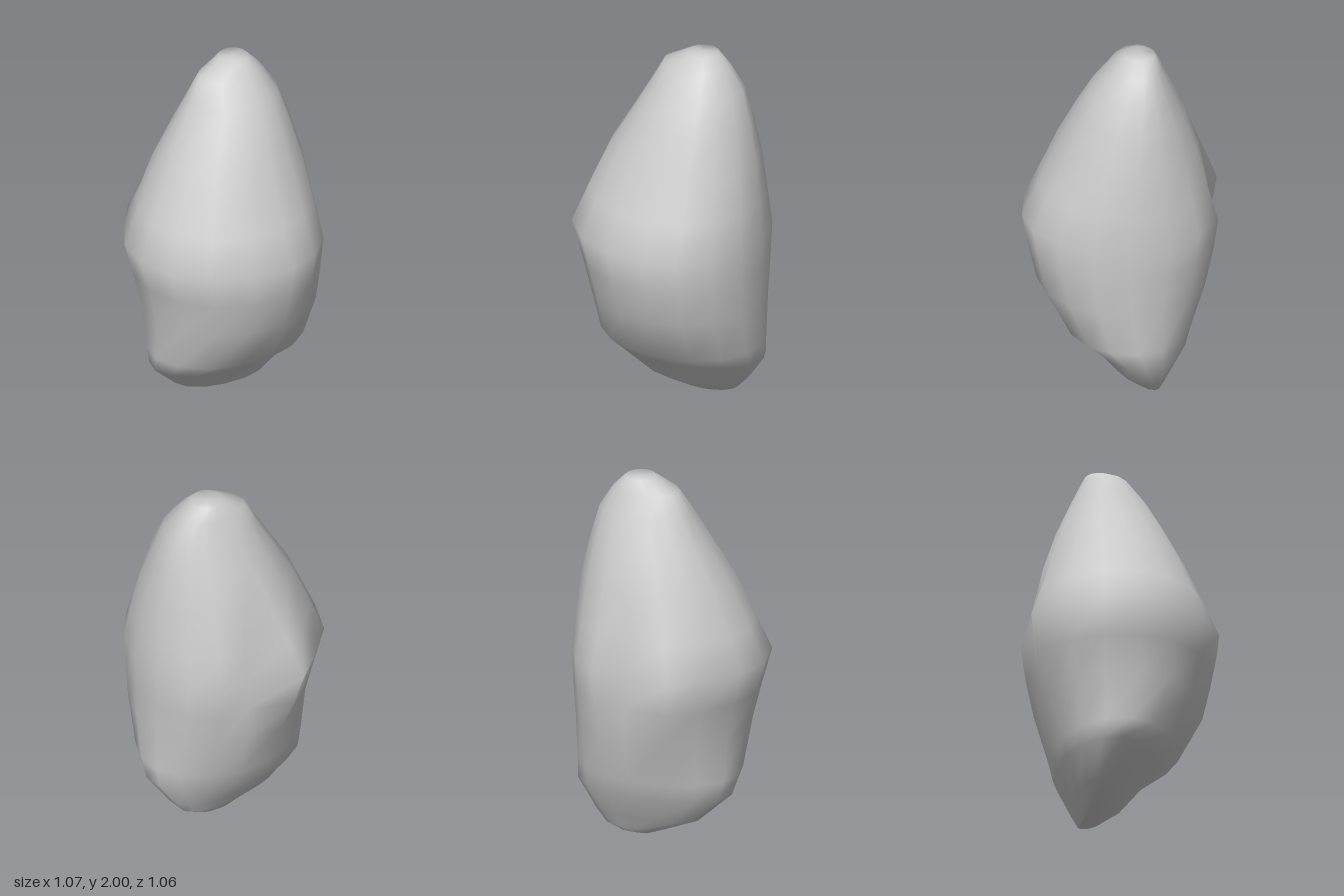
import * as THREE from 'three';

const SIDES = 16;

// Horizontal slices, bottom to top: height, centre x/z, then reach to -x, +x, -z, +z
const SLICES = [
  [0.0, -0.17, -0.17, -0.185, -0.15, -0.22, -0.07],
  [0.03, -0.15, -0.16, -0.20, -0.05, -0.32, 0.02],
  [0.1, -0.13, -0.13, -0.24, 0.05, -0.385, 0.2],
  [0.26, -0.08, -0.1, -0.335, 0.18, -0.5, 0.375],
  [0.36, -0.04, -0.09, -0.365, 0.32, -0.51, 0.4],
  [0.62, 0, -0.08, -0.455, 0.455, -0.518, 0.425],
  [0.82, 0, -0.08, -0.5, 0.5, -0.525, 0.475],
  [1.01, 0, -0.08, -0.53, 0.535, -0.53, 0.53],
  [1.2, -0.01, -0.08, -0.475, 0.45, -0.51, 0.45],
  [1.43, -0.03, -0.09, -0.41, 0.355, -0.48, 0.35],
  [1.64, -0.06, -0.12, -0.33, 0.26, -0.43, 0.23],
  [1.81, -0.08, -0.14, -0.255, 0.17, -0.38, 0.135],
  [1.93, -0.09, -0.15, -0.20, 0.07, -0.3, 0.07],
  [2.0, -0.09, -0.15, -0.165, 0.0, -0.23, -0.07],
];

// One point on a slice, with a shallow hollow on the right flank beside a blunt spur
function slicePoint([y, cx, cz, x0, x1, z0, z1], i) {
  const a = (i / SIDES) * Math.PI * 2;
  const s = Math.sin(a), c = Math.cos(a);
  let x = cx + s * (s > 0 ? x1 - cx : cx - x0);
  let z = cz + c * (c > 0 ? z1 - cz : cz - z0);
  const fade = Math.exp(-(((y - 1) / 0.28) ** 2));
  if (i === 12) x += 0.09 * fade;
  if (i === 13) x -= 0.045 * fade;
  if (i === 13) z += 0.05 * fade;
  return [x, y, z];
}

function rockGeometry() {
  const pos = [], index = [];
  for (const slice of SLICES) {
    for (let i = 0; i < SIDES; i++) pos.push(...slicePoint(slice, i));
  }
  // Skin between neighbouring slices
  for (let r = 0; r < SLICES.length - 1; r++) {
    for (let i = 0; i < SIDES; i++) {
      const j = (i + 1) % SIDES;
      const a = r * SIDES + i, b = r * SIDES + j;
      index.push(a, b, b + SIDES, a, b + SIDES, a + SIDES);
    }
  }
  // Closing fans at the base and the tip
  const last = (SLICES.length - 1) * SIDES;
  const base = pos.length / 3, tip = base + 1;
  pos.push(-0.17, 0, -0.17, -0.09, 2, -0.15);
  for (let i = 0; i < SIDES; i++) {
    const j = (i + 1) % SIDES;
    index.push(base, j, i, tip, last + i, last + j);
  }
  const geo = new THREE.BufferGeometry();
  geo.setAttribute('position', new THREE.Float32BufferAttribute(pos, 3));
  geo.setIndex(index);
  geo.computeVertexNormals();
  return geo;
}

export function createModel() {
  const group = new THREE.Group();
  group.name = 'standingRock';
  const rock = new THREE.Mesh(rockGeometry(), new THREE.MeshStandardMaterial({ color: 0xcccccc }));
  rock.name = 'rock';
  group.add(rock);
  return group;
}
